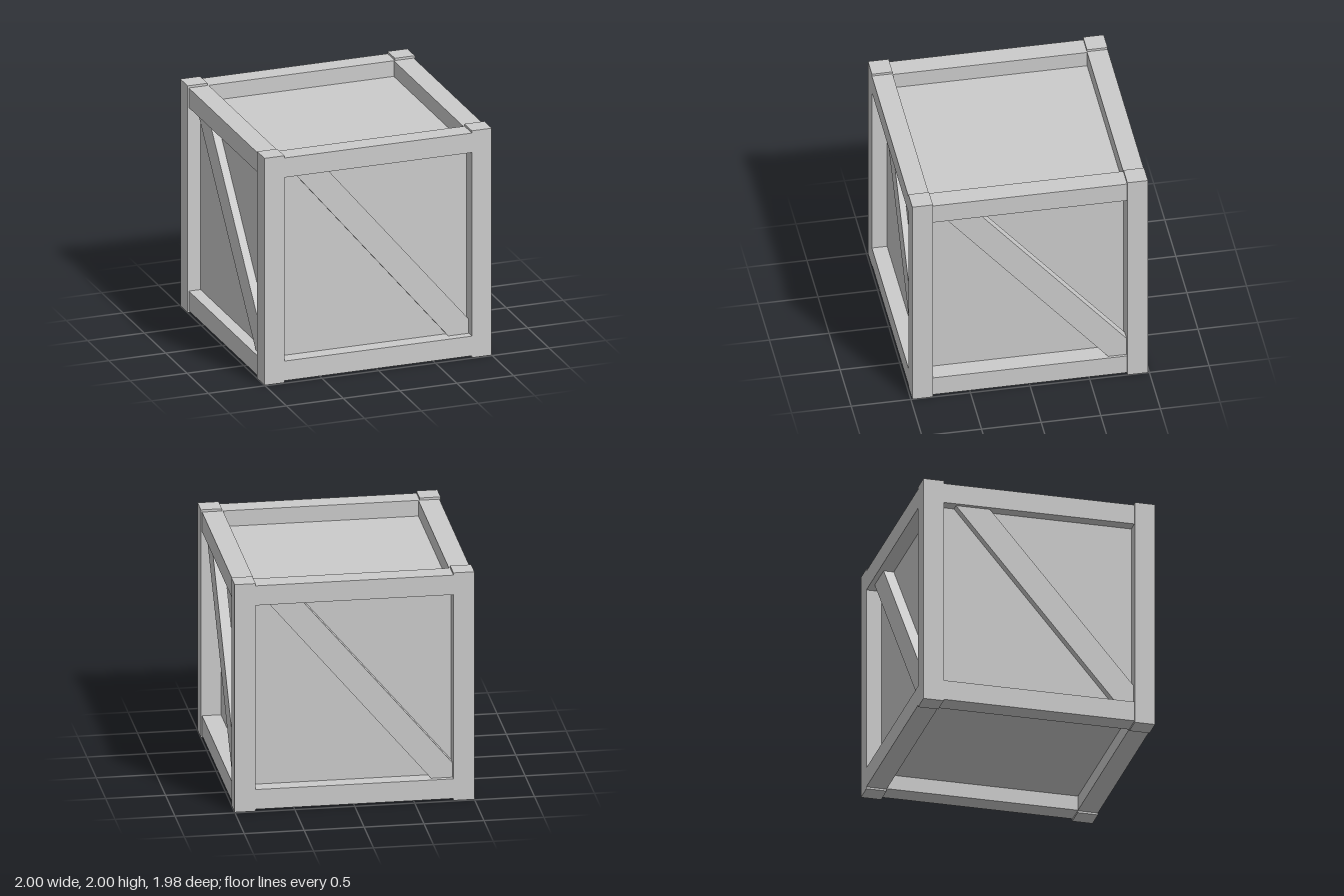
import * as THREE from 'three';

const material = new THREE.MeshStandardMaterial({ color: 0xcccccc, flatShading: true });

// Box given by its lower and upper limits on each axis
function box(name, [x0, x1], [y0, y1], [z0, z1]) {
  const mesh = new THREE.Mesh(new THREE.BoxGeometry(x1 - x0, y1 - y0, z1 - z0), material);
  mesh.name = name;
  mesh.position.set((x0 + x1) / 2, (y0 + y1) / 2, (z0 + z1) / 2);
  return mesh;
}

// Diagonal board, trimmed to the frame opening, from depth "inner" to "outer"
function brace(name, points, inner, outer, angle) {
  const shape = new THREE.Shape(points.map(([x, y]) => new THREE.Vector2(x, y)));
  const geometry = new THREE.ExtrudeGeometry(shape, { depth: outer - inner, bevelEnabled: false });
  geometry.translate(0, 0, inner);
  const mesh = new THREE.Mesh(geometry, material);
  mesh.name = name;
  mesh.rotation.y = angle;
  return mesh;
}

export function createModel() {
  const crate = new THREE.Group();
  crate.name = 'crate';

  // Recessed panels as one closed inner box, set slightly to one side
  crate.add(box('innerPanels', [-0.887, 0.832], [0.145, 1.842], [-0.86, 0.86]));

  // Corner posts, slightly taller than the rails
  for (const sx of [-1, 1]) {
    for (const sz of [-1, 1]) {
      const x = sx > 0 ? [0.825, 1] : [-1, -0.825];
      const z = sz > 0 ? [0.815, 0.988] : [-0.988, -0.815];
      crate.add(box('cornerPost', x, [0, 2], z));
    }
  }

  // Horizontal rails at top and bottom
  for (const [level, y] of [['bottom', [0.017, 0.19]], ['top', [1.808, 1.98]]]) {
    crate.add(box(level + 'FrontRail', [-0.825, 0.825], y, [0.815, 0.988]));
    crate.add(box(level + 'BackRail', [-0.825, 0.825], y, [-0.988, -0.815]));
    crate.add(box(level + 'LeftRail', [0.815, 0.99], y, [-0.815, 0.815]));
    crate.add(box(level + 'RightRail', [-0.99, -0.815], y, [-0.815, 0.815]));
  }

  // Diagonal braces on the four upright sides
  const wide = [[-0.715, 1.81], [0.645, 0.19], [0.825, 0.19], [0.825, 0.315], [-0.43, 1.81]];
  const narrow = [[-0.7, 1.81], [0.66, 0.19], [0.815, 0.19], [0.815, 0.355], [-0.41, 1.81]];
  crate.add(brace('frontBrace', wide, 0.85, 0.915, 0));
  crate.add(brace('backBrace', wide, 0.85, 0.947, Math.PI));
  crate.add(brace('leftBrace', narrow, 0.88, 0.968, Math.PI / 2));
  crate.add(brace('rightBrace', narrow, 0.88, 0.955, -Math.PI / 2));

  return crate;
}
